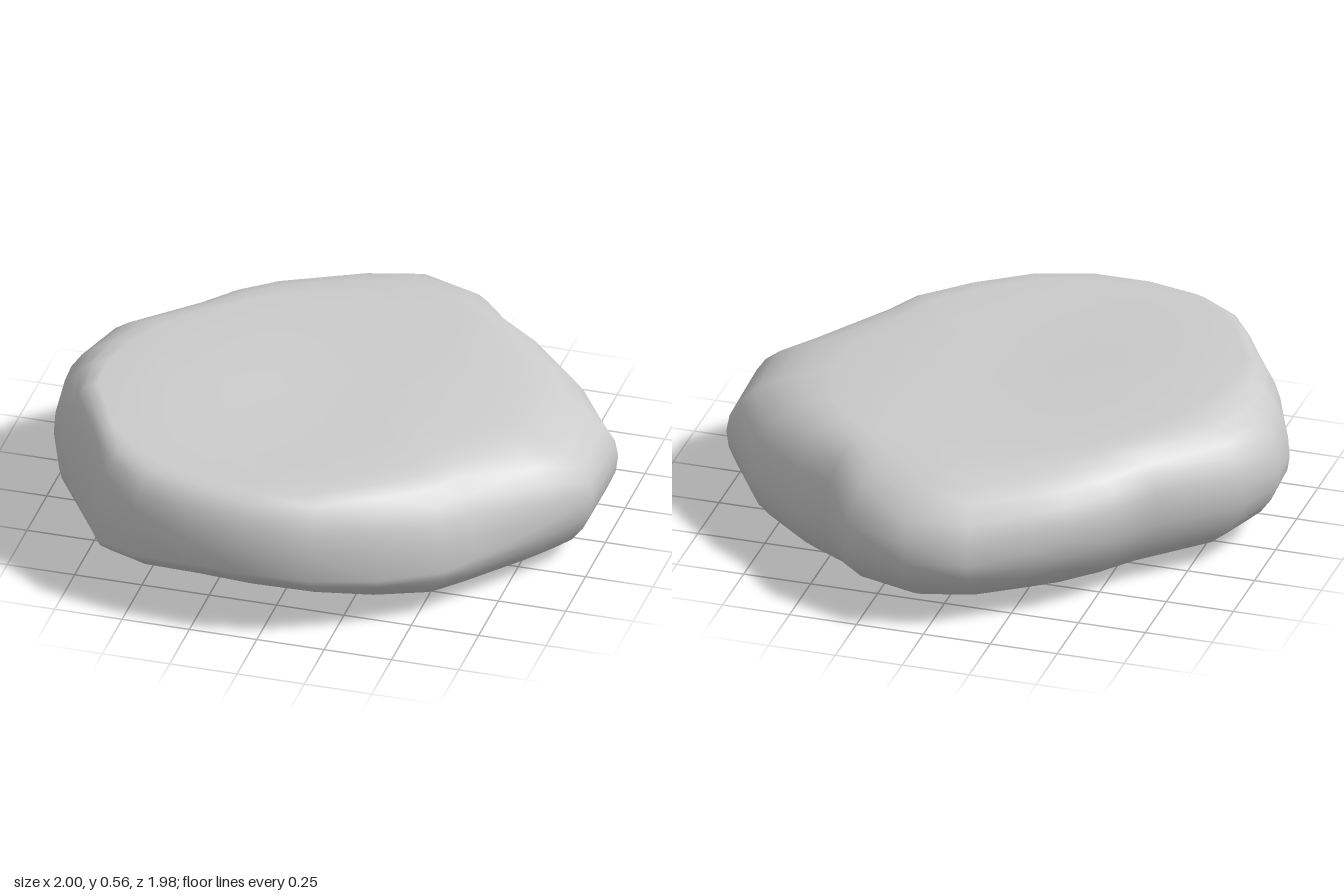
import * as THREE from 'three';

// Plan outline, running from the back round by the left side:
// x, z, height of the widest point, upper rounding, lower rounding (as shares of the radius)
const OUTLINE = [
  [0.08, -0.99, 0.27, 0.4, 0.38], [0.33, -0.89, 0.26, 0.36, 0.34], [0.46, -0.72, 0.25, 0.25, 0.23],
  [0.62, -0.62, 0.23, 0.27, 0.24], [0.83, -0.43, 0.22, 0.31, 0.26], [0.995, -0.18, 0.26, 0.36, 0.27],
  [1, 0.16, 0.28, 0.37, 0.28], [0.9, 0.3, 0.25, 0.35, 0.28], [0.68, 0.56, 0.2, 0.28, 0.26],
  [0.6, 0.68, 0.2, 0.26, 0.28], [0.4, 0.82, 0.21, 0.23, 0.35], [0.18, 0.94, 0.24, 0.2, 0.44],
  [-0.05, 0.985, 0.26, 0.17, 0.47], [-0.28, 0.97, 0.26, 0.15, 0.46], [-0.49, 0.92, 0.23, 0.15, 0.4],
  [-0.65, 0.81, 0.2, 0.14, 0.34], [-0.74, 0.66, 0.2, 0.11, 0.28], [-0.91, 0.4, 0.22, 0.14, 0.25],
  [-0.98, 0.23, 0.26, 0.19, 0.24], [-1, 0.05, 0.3, 0.25, 0.24], [-0.94, -0.18, 0.32, 0.28, 0.28],
  [-0.69, -0.42, 0.33, 0.24, 0.3], [-0.59, -0.58, 0.33, 0.28, 0.34], [-0.46, -0.72, 0.31, 0.32, 0.36],
  [-0.33, -0.8, 0.28, 0.33, 0.36], [-0.14, -0.93, 0.26, 0.38, 0.38],
];

// Nearly flat upper and lower faces
const topY = (x, z) => 0.535 + 0.035 * Math.exp(-4 * ((x + 0.65) ** 2 + (z - 0.2) ** 2))
  - 0.08 * Math.max(0, x - 0.4);
const bottomY = (x, z) => 0.005 + 0.05 * Math.max(0, -x) + 0.05 * Math.max(0, Math.abs(z) - 0.4);

function stoneGeometry() {
  const positions = [];
  const index = [];
  const n = OUTLINE.length;
  const steps = 6;

  // Rings from the underside, round the rim, to the upper face
  const rings = [];
  for (const face of [0.35, 0.7]) rings.push({ face, t: -Math.PI / 2 });
  for (let i = -steps; i <= steps; i++) rings.push({ face: 1, t: (i / steps) * Math.PI / 2 });
  for (const face of [0.75, 0.5, 0.25]) rings.push({ face, t: Math.PI / 2 });

  positions.push(0, bottomY(0, 0), 0);
  for (const { face, t } of rings) {
    for (const [ox, oz, mid, upperInset, lowerInset] of OUTLINE) {
      const upper = t >= 0;
      const front = Math.max(0, oz) ** 2;
      // The front has a square upper shoulder and a straight lower chamfer
      const power = upper ? 0.95 - 0.2 * front : 1 + 0.4 * front;
      const inset = upper ? upperInset : lowerInset;
      const scale = face * (1 - inset * (1 - Math.max(0, Math.cos(t)) ** power));
      const x = ox * scale, z = oz * scale;
      const limit = upper ? topY(x, z) : bottomY(x, z);
      positions.push(x, mid + (limit - mid) * Math.abs(Math.sin(t)) ** power, z);
    }
  }
  const last = positions.length / 3;
  positions.push(0, topY(0, 0), 0);

  // Bands between rings, then a fan at each pole
  for (let i = 0; i < n; i++) {
    const j = (i + 1) % n;
    for (let k = 0; k < rings.length - 1; k++) {
      const a = 1 + k * n + i, b = 1 + k * n + j;
      index.push(a, a + n, b + n, a, b + n, b);
    }
    index.push(0, 1 + i, 1 + j);
    index.push(last - n + i, last, last - n + j);
  }

  const geometry = new THREE.BufferGeometry();
  geometry.setAttribute('position', new THREE.Float32BufferAttribute(positions, 3));
  geometry.setIndex(index);
  geometry.computeVertexNormals();
  geometry.computeBoundingBox();
  geometry.translate(0, -geometry.boundingBox.min.y, 0);
  return geometry;
}

export function createModel() {
  const group = new THREE.Group();
  group.name = 'flatStone';
  const stone = new THREE.Mesh(stoneGeometry(), new THREE.MeshStandardMaterial({ color: 0xcccccc }));
  stone.name = 'stone';
  group.add(stone);
  return group;
}
